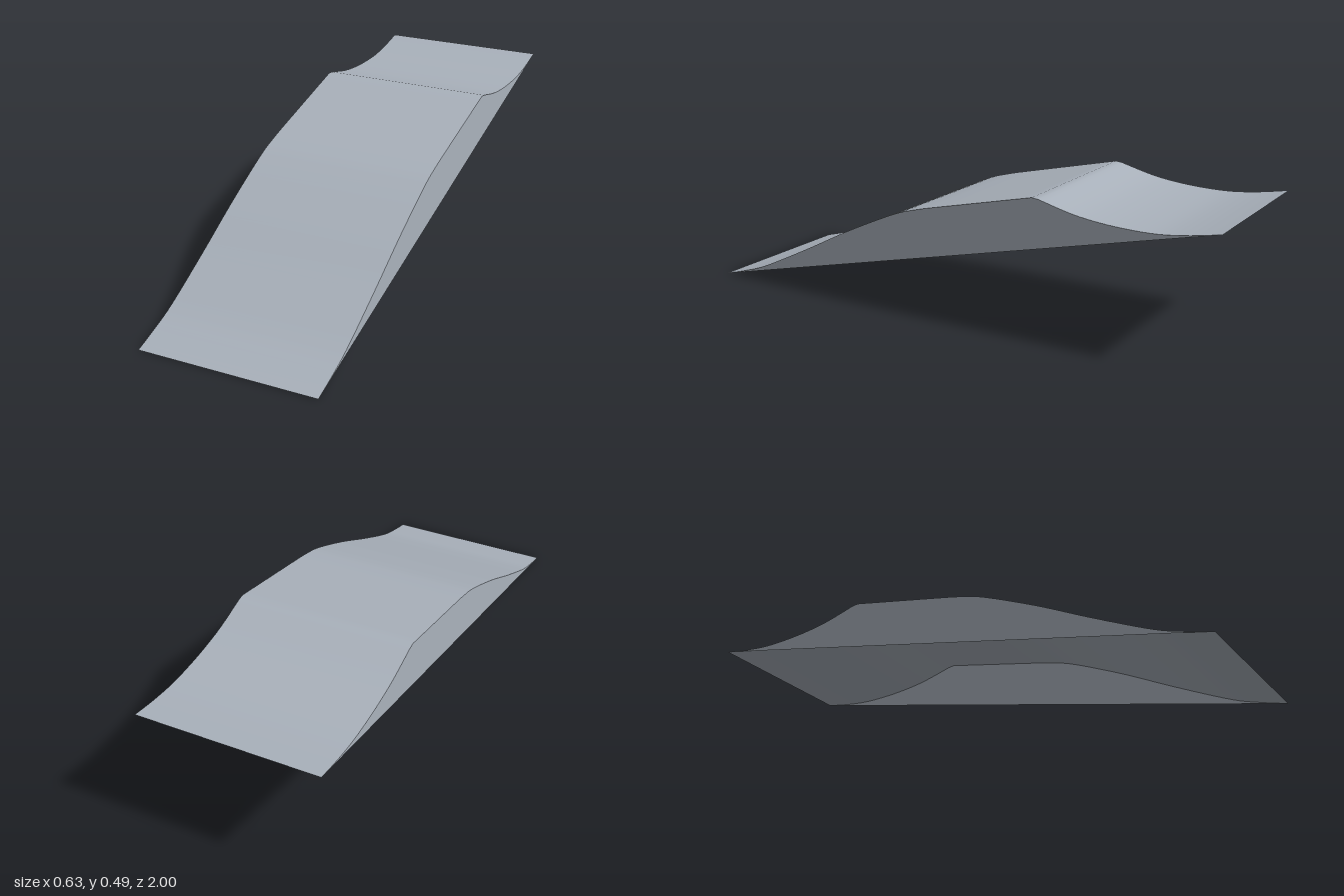
import * as THREE from 'three';

const HALF_WIDTH = 0.315;

// Smooth run of [z, y] points, sampled evenly
function smoothRun(points, steps) {
  return new THREE.SplineCurve(points.map(([z, y]) => new THREE.Vector2(z, y))).getPoints(steps);
}

// Side profile from the front lip to the rear lip
function profile() {
  const rise = smoothRun([[1, 0.005], [0.9, 0.033], [0.8, 0.068], [0.6, 0.163], [0.4, 0.264],
    [0.2, 0.354], [0.1, 0.386], [0, 0.41]], 40);
  const deck = smoothRun([[0, 0.41], [-0.355, 0.49]], 6).slice(1);
  const scoop = smoothRun([[-0.38, 0.487], [-0.5, 0.456], [-0.6, 0.441], [-0.7, 0.434],
    [-0.8, 0.434], [-0.9, 0.445], [-1, 0.463]], 24);
  return [...rise, ...deck, ...scoop];
}

// Curved top sheet: a plane whose rows follow the profile
function topSheet(points) {
  const geometry = new THREE.PlaneGeometry(2 * HALF_WIDTH, 1, 1, points.length - 1);
  const position = geometry.attributes.position;
  const rows = [...points].reverse();
  for (let i = 0; i < position.count; i++) {
    const p = rows[Math.floor(i / 2)];
    position.setXYZ(i, position.getX(i), p.y, p.x);
  }
  geometry.computeVertexNormals();
  return geometry;
}

// Flat wall filling the profile down to the straight lower edge
function sideWall(points, side) {
  const outline = points.map((p) => new THREE.Vector2(-side * p.x, p.y));
  const geometry = new THREE.ShapeGeometry(new THREE.Shape(outline));
  geometry.rotateY(side * Math.PI / 2);
  geometry.translate(side * HALF_WIDTH, 0, 0);
  return geometry;
}

export function createModel() {
  const model = new THREE.Group();
  model.name = 'ramp';
  // Open underneath, so both faces of every sheet show
  const greyPanel = new THREE.MeshStandardMaterial({ color: 0xaab2bc, side: THREE.DoubleSide });
  greyPanel.name = 'grey panel';

  const add = (geometry, name) => {
    const mesh = new THREE.Mesh(geometry, greyPanel);
    mesh.name = name;
    model.add(mesh);
  };
  const points = profile();
  add(topSheet(points), 'topSheet');
  add(sideWall(points, 1), 'leftWall');
  add(sideWall(points, -1), 'rightWall');
  return model;
}
